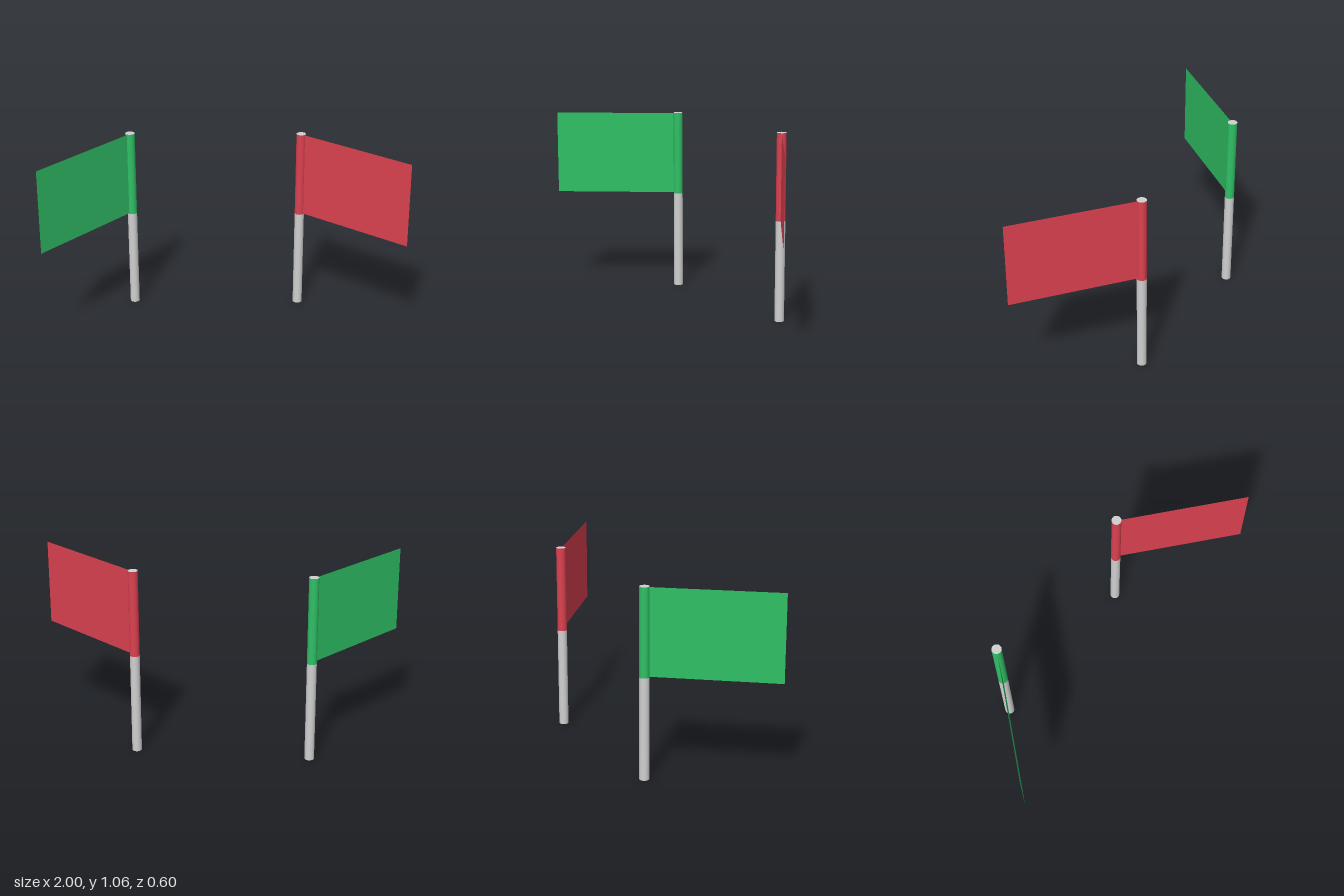
import * as THREE from 'three';

const R = 0.027, TOP = 1.064, FLAG_LOW = 0.577, SLEEVE_LOW = 0.574, POLE_Z = -0.27;

function material(name, color, side = THREE.FrontSide) {
  const m = new THREE.MeshStandardMaterial({ color, side });
  m.name = name;
  return m;
}

// One pole with a coloured sleeve and a flat flag swung out to (tipX, tipZ)
function flagPole(name, x, tipX, tipZ, grey, cloth) {
  const group = new THREE.Group();
  group.name = name;
  group.position.set(x, 0, POLE_Z);
  const add = (part, geometry, mat) => {
    const mesh = new THREE.Mesh(geometry, mat);
    mesh.name = part;
    group.add(mesh);
    return mesh;
  };

  // lower bare pole
  add('pole', new THREE.CylinderGeometry(R, R, SLEEVE_LOW, 32), grey)
    .position.y = SLEEVE_LOW / 2;

  // coloured sleeve wall with grey pole end on top
  add('sleeve', new THREE.CylinderGeometry(R, R, TOP - SLEEVE_LOW, 32), [cloth, grey, grey])
    .position.y = (TOP + SLEEVE_LOW) / 2;

  // flag sheet, from the pole axis to its free edge
  const dx = tipX - x, dz = tipZ - POLE_Z, height = 1.06 - FLAG_LOW;
  const sheet = new THREE.PlaneGeometry(Math.hypot(dx, dz), height);
  sheet.rotateY(Math.atan2(-dz, dx));
  add('flag', sheet, cloth).position.set(dx / 2, FLAG_LOW + height / 2, dz / 2);
  return group;
}

export function createModel() {
  const model = new THREE.Group();
  model.name = 'flagPair';
  const grey = material('pole grey', 0xd0d0d0);
  const red = material('flag red', 0xdc4150, THREE.DoubleSide);
  const green = material('flag green', 0x2fc065, THREE.DoubleSide);
  model.add(
    flagPole('redFlag', 0.426, 1, 0.187, grey, red),
    flagPole('greenFlag', -0.544, -1, 0.298, grey, green),
  );
  return model;
}
